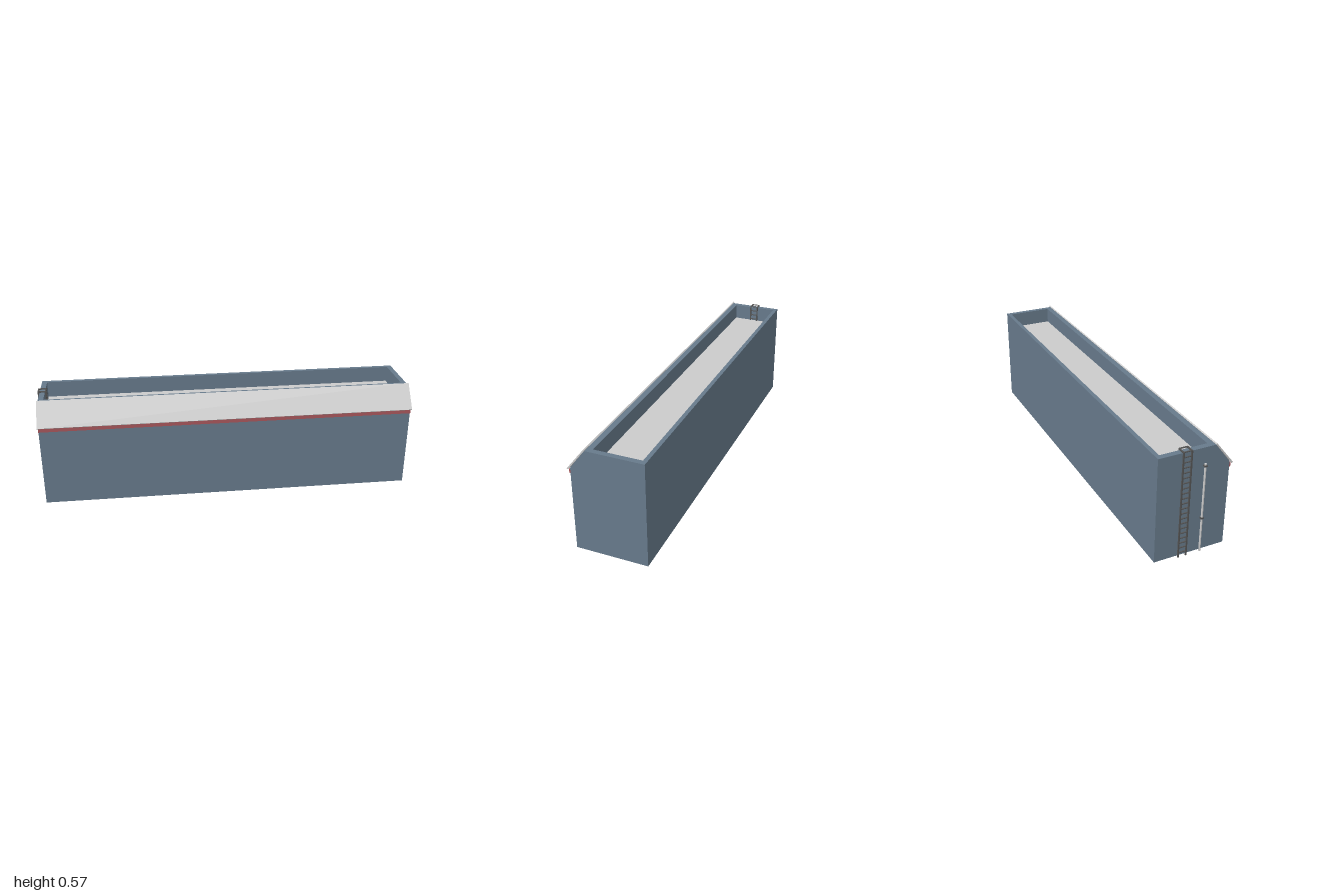
import * as THREE from 'three';

const mat = (color, side = THREE.FrontSide) =>
  new THREE.MeshStandardMaterial({ color, side, flatShading: true });

// Flat geometry from convex polygons, corners counter-clockwise seen from outside
function polygons(list) {
  const pos = [];
  for (const p of list)
    for (let i = 1; i < p.length - 1; i++) pos.push(...p[0], ...p[i], ...p[i + 1]);
  const g = new THREE.BufferGeometry();
  g.setAttribute('position', new THREE.Float32BufferAttribute(pos, 3));
  g.computeVertexNormals();
  return g;
}

export function createModel() {
  const model = new THREE.Group();
  const grey = mat(0xcccccc), blue = mat(0x677a8b), red = mat(0xa8575b), dark = mat(0x555555);

  function add(name, geometry, material, parent = model) {
    const mesh = new THREE.Mesh(geometry, material);
    mesh.name = name;
    parent.add(mesh);
    return mesh;
  }
  function box(name, material, [x0, x1], [y0, y1], [z0, z1], parent) {
    const m = add(name, new THREE.BoxGeometry(x1 - x0, y1 - y0, z1 - z0), material, parent);
    m.position.set((x0 + x1) / 2, (y0 + y1) / 2, (z0 + z1) / 2);
    return m;
  }

  const L = -0.985, R = 0.99, base = 0.007, eave = 0.455, top = 0.56;
  const back = -0.194, front = 0.178, ridge = 0.099, deck = 0.475;

  // Outer walls: end outline (z, y) swept from one end to the other
  const outline = [[back, base], [back, top], [ridge, top], [front, eave], [front, base]];
  const at = (x, [z, y]) => [x, y, z];
  const outer = [outline.map(p => at(R, p)), outline.map(p => at(L, p)).reverse()];
  for (const i of [0, 2, 3]) {
    const a = outline[i], b = outline[i + 1];
    outer.push([at(L, a), at(L, b), at(R, b), at(R, a)]);
  }
  add('walls', polygons(outer), blue);

  // Parapet rim and inner faces around the sunken deck
  const ring = (x0, x1, z0, z1, y) => [[x0, y, z1], [x1, y, z1], [x1, y, z0], [x0, y, z0]];
  const rimOut = ring(L, R, back, ridge, top);
  const inner = [-0.957, 0.963, -0.173, 0.07];
  const rimIn = ring(...inner, top), deckRing = ring(...inner, deck);
  const parapet = [];
  for (let i = 0; i < 4; i++) {
    const j = (i + 1) % 4;
    parapet.push([rimOut[i], rimOut[j], rimIn[j], rimIn[i]]);
    parapet.push([rimIn[i], rimIn[j], deckRing[j], deckRing[i]]);
  }
  add('parapet', polygons(parapet), blue);
  add('roofDeck', polygons([deckRing]), grey);
  add('underside', polygons([ring(L, R, back, front, base).reverse()]), grey);

  // Sloping front roof panel
  const lo = [0.190, 0.449], hi = [0.0985, 0.5665];
  const dz = hi[0] - lo[0], dy = hi[1] - lo[1];
  const panel = add('slopedRoof', new THREE.BoxGeometry(1.985, Math.hypot(dz, dy), 0.007), grey);
  panel.position.set(0.0025, (lo[1] + hi[1]) / 2, (lo[0] + hi[0]) / 2);
  panel.rotation.x = Math.atan2(dz, dy);

  // Fascia strip below the eave
  box('fascia', red, [L, R], [0.426, 0.448], [front, 0.184]);

  // Ladder up the end wall, over the parapet and down to the deck
  const ladder = new THREE.Group();
  ladder.name = 'ladder';
  model.add(ladder);
  const xo = [-0.994, -0.988], xi = [-0.956, -0.950];
  for (const z of [-0.028, -0.070]) {
    const w = [z - 0.0035, z + 0.0035];
    box('outerRail', dark, xo, [0, 0.567], w, ladder);
    box('innerRail', dark, xi, [deck, 0.567], w, ladder);
    box('topRail', dark, [xo[0], xi[1]], [0.561, 0.567], w, ladder);
  }
  for (let i = 0; i < 21; i++) {
    const y = 0.026 + i * 0.027;
    box('rung', dark, xo, [y - 0.002, y + 0.002], [-0.07, -0.028], ladder);
    if (y > deck) box('innerRung', dark, xi, [y - 0.002, y + 0.002], [-0.07, -0.028], ladder);
  }

  // Downpipe beside the ladder with wall clamps
  const pipe = add('downpipe', new THREE.CylinderGeometry(0.005, 0.005, 0.48, 12), grey);
  pipe.position.set(-0.993, 0.242, 0.045);
  for (const y of [0.19, 0.47])
    box('pipeClamp', dark, [-1, L], [y - 0.004, y + 0.004], [0.038, 0.052]);

  return model;
}
